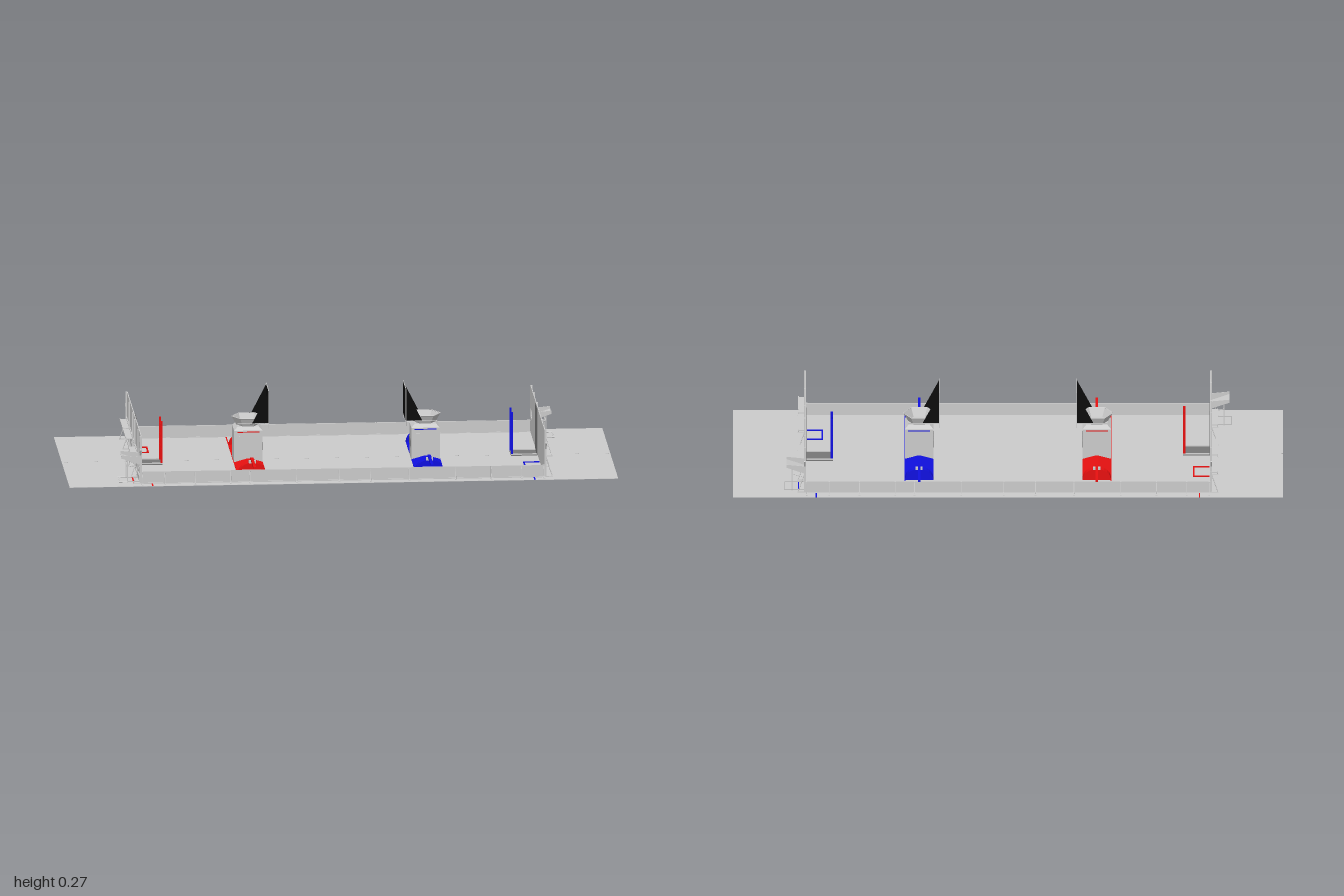
import * as THREE from 'three';

const material = (color) => new THREE.MeshStandardMaterial({ color, side: THREE.DoubleSide, flatShading: true });
const grey = material(0xcccccc), dark = material(0x777777), black = material(0x0c0c0c);
const red = material(0xe81010), blue = material(0x1010e0);

function add(parent, name, geometry, mat = grey) {
  const mesh = new THREE.Mesh(geometry, mat);
  mesh.name = name;
  parent.add(mesh);
  return mesh;
}

// Box given by its extents along each axis
function box(parent, name, x0, x1, y0, y1, z0, z1, mat) {
  const m = add(parent, name, new THREE.BoxGeometry(x1 - x0, y1 - y0, z1 - z0), mat);
  m.position.set((x0 + x1) / 2, (y0 + y1) / 2, (z0 + z1) / 2);
  return m;
}

// Round bar between two points
function bar(parent, name, a, b, r = 0.002, mat = grey) {
  const p = new THREE.Vector3(...a), q = new THREE.Vector3(...b);
  const m = add(parent, name, new THREE.CylinderGeometry(r, r, p.distanceTo(q), 8), mat);
  m.position.copy(p).add(q).multiplyScalar(0.5);
  m.quaternion.setFromUnitVectors(new THREE.Vector3(0, 1, 0), q.sub(p).normalize());
}

function shapeOf(points) {
  return new THREE.Shape(points.map(([x, y]) => new THREE.Vector2(x, y)));
}

// Profile in x and y, extruded along z
function prism(parent, name, points, z0, z1, mat) {
  const g = new THREE.ExtrudeGeometry(shapeOf(points), { depth: z1 - z0, bevelEnabled: false });
  add(parent, name, g, mat).position.z = z0;
}

// Goal tower with hexagonal funnel and net
function buildHub(color) {
  const hub = new THREE.Group();
  hub.name = 'hub';
  box(hub, 'hubBody', -0.052, 0.052, 0, 0.12, -0.052, 0.052);
  const taper = add(hub, 'hubShoulder', new THREE.CylinderGeometry(0.055, 0.0735, 0.012, 4).rotateY(Math.PI / 4));
  taper.position.y = 0.126;
  const funnel = add(hub, 'hexFunnel', new THREE.CylinderGeometry(0.058, 0.038, 0.036, 6, 1, true).rotateY(Math.PI / 2));
  funnel.position.y = 0.145;
  const rim = add(hub, 'funnelRim', new THREE.TorusGeometry(0.058, 0.0015, 4, 6).rotateX(Math.PI / 2));
  rim.position.y = 0.163;
  for (const z of [-0.036, -0.012, 0.012, 0.036])
    box(hub, 'exitChute', -0.054, -0.05, 0.045, 0.07, z - 0.01, z + 0.01, dark);
  for (const s of [-1, 1]) {
    box(hub, 'lightStrip', -0.04, 0.04, 0.113, 0.116, s * 0.053 - 0.001, s * 0.053 + 0.001, color);
    box(hub, 'sidePanel', -0.035, 0.035, 0.05, 0.1, s * 0.0525 - 0.001, s * 0.0525 + 0.001);
  }
  // Net: upright back with triangular sides
  box(hub, 'backNet', -0.074, -0.072, 0.15, 0.268, -0.063, 0.063, black);
  for (const s of [-1, 1]) {
    prism(hub, 'sideNet', [[-0.073, 0.15], [-0.013, 0.15], [-0.073, 0.266]], s * 0.063 - 0.0005, s * 0.063 + 0.0005, black);
    bar(hub, 'netPost', [-0.073, 0.13, s * 0.064], [-0.073, 0.27, s * 0.064], 0.0015);
    bar(hub, 'netArm', [-0.073, 0.148, s * 0.064], [0.04, 0.148, s * 0.064], 0.0015);
  }
  bar(hub, 'netTopBar', [-0.073, 0.27, -0.064], [-0.073, 0.27, 0.064], 0.0015);
  hub.position.x = 0.323;
  return hub;
}

// Ramps beside the hub, end supports and overhead arms
function buildBarrier(color) {
  const barrier = new THREE.Group();
  barrier.name = 'barrier';
  const arch = [];
  for (let i = 0; i <= 12; i++) {
    const a = Math.PI * i / 12;
    arch.push([0.052 * Math.cos(a), 0.045 * Math.sin(a)]);
  }
  for (const s of [-1, 1]) {
    const span = (a, b) => s > 0 ? [a, b] : [-b, -a];
    prism(barrier, 'ramp', [[-0.052, 0.001], [0.052, 0.001], [0.052, 0.003], [0.006, 0.016], [-0.006, 0.016], [-0.052, 0.003]], ...span(0.052, 0.22), color);
    prism(barrier, 'rampEndSupport', arch, ...span(0.218, 0.242), color);
    box(barrier, 'overheadArm', -0.005, 0.005, 0.052, 0.06, ...span(0.225, 0.378), color);
    box(barrier, 'armPost', -0.006, 0.006, 0.03, 0.06, ...span(0.222, 0.24), color);
    box(barrier, 'armHinge', -0.013, 0.013, 0.045, 0.056, ...span(0.243, 0.253));
    bar(barrier, 'armBrace', [0, 0.045, s * 0.25], [0, 0.057, s * 0.3], 0.002);
  }
  barrier.position.x = 0.323;
  return barrier;
}

// End wall with tower and chute openings
function buildWall() {
  const wall = new THREE.Group();
  wall.name = 'endWall';
  const outline = shapeOf([[-0.356, 0.003], [0.356, 0.003], [0.356, 0.177], [-0.356, 0.177]]);
  const hole = (a, b, c, d) => outline.holes.push(shapeOf([[a, c], [a, d], [b, d], [b, c]]));
  hole(-0.335, -0.262, 0.065, 0.095);
  hole(-0.065, 0.015, 0.008, 0.083);
  const g = new THREE.ExtrudeGeometry(outline, { depth: 0.003, bevelEnabled: false }).rotateY(-Math.PI / 2);
  add(wall, 'wallPanel', g).position.x = 0.737;
  box(wall, 'middleRail', 0.736, 0.741, 0.081, 0.085, -0.262, 0.356);
  box(wall, 'bottomRail', 0.736, 0.741, 0.002, 0.007, -0.356, 0.356);
  for (const z of [0.352, 0.192, 0.032, -0.08, -0.242, -0.352]) {
    box(wall, 'wallPost', 0.736, 0.742, 0, 0.177, z - 0.003, z + 0.003);
    box(wall, 'postFoot', 0.736, 0.765, 0, 0.004, z - 0.004, z + 0.004);
    bar(wall, 'postBrace', [0.763, 0.003, z], [0.739, 0.075, z], 0.0015);
  }
  // Player shelves behind the wall
  for (const [a, b] of [[0.2, 0.345], [0.04, 0.185], [-0.235, -0.09]]) {
    box(wall, 'shelf', 0.738, 0.763, 0.074, 0.077, a, b);
    box(wall, 'shelfLip', 0.761, 0.764, 0.074, 0.08, a, b);
  }
  for (const s of [-1, 1])
    bar(wall, 'cornerBracket', [0.739, 0.107, s * 0.357], [0.739, 0.13, s * 0.37], 0.003);
  return wall;
}

// Climbing tower with uprights and rungs
function buildTower(color) {
  const tower = new THREE.Group();
  tower.name = 'climbingTower';
  box(tower, 'towerBase', 0.637, 0.734, 0.001, 0.004, -0.067, 0.017, dark);
  box(tower, 'towerBackPanel', 0.731, 0.7335, 0.004, 0.177, -0.067, 0.017, dark);
  for (const z of [-0.062, 0.012]) {
    box(tower, 'baseSide', 0.637, 0.734, 0.004, 0.008, z - 0.002, z + 0.002);
  }
  for (const z of [-0.061, 0.011])
    box(tower, 'upright', 0.637, 0.645, 0.003, 0.163, z - 0.002, z + 0.002, color);
  for (const y of [0.061, 0.102, 0.142])
    bar(tower, 'rung', [0.641, y, -0.07], [0.641, y, 0.02], 0.002, color);
  return tower;
}

// Feeding station outside the wall
function buildChute(color) {
  const chute = new THREE.Group();
  chute.name = 'feedStation';
  prism(chute, 'chuteTray', [[0.737, 0.066], [0.805, 0.09], [0.805, 0.093], [0.737, 0.069]], -0.335, -0.262);
  for (const z of [-0.335, -0.262]) {
    prism(chute, 'chuteSide', [[0.737, 0.066], [0.805, 0.09], [0.805, 0.102], [0.737, 0.095]], z - 0.001, z + 0.001);
    bar(chute, 'chuteLeg', [0.785, 0, z], [0.785, 0.085, z]);
    bar(chute, 'chuteFoot', [0.738, 0.004, z], [0.815, 0.004, z]);
    bar(chute, 'chuteBrace', [0.74, 0.055, z], [0.785, 0.065, z], 0.0015);
  }
  bar(chute, 'footCrossBar', [0.812, 0.004, -0.335], [0.812, 0.004, -0.262]);
  bar(chute, 'legCrossBar', [0.785, 0.06, -0.335], [0.785, 0.06, -0.262]);
  box(chute, 'floorDoor', 0.738, 0.742, 0.005, 0.024, -0.332, -0.264);
  box(chute, 'floorLine', 0.759, 0.764, 0.001, 0.002, -0.335, -0.262, color);
  const arc = add(chute, 'doorArc', new THREE.TorusGeometry(0.07, 0.001, 4, 16, Math.PI / 2).rotateY(-Math.PI / 2));
  arc.position.set(0.738, 0.082, -0.334);
  return chute;
}

// Low ball pen and coloured floor lines
function buildFloorMarks(color) {
  const marks = new THREE.Group();
  marks.name = 'floorMarks';
  box(marks, 'penFront', 0.673, 0.678, 0.001, 0.005, 0.124, 0.212, color);
  for (const z of [0.124, 0.208]) box(marks, 'penSide', 0.673, 0.733, 0.001, 0.005, z, z + 0.004, color);
  box(marks, 'startLine', 0.373, 0.377, 0.001, 0.002, -0.355, 0.355, color);
  for (const s of [-1, 1])
    box(marks, 'outerLine', 0.694, 0.699, 0.001, 0.002, s * 0.38 - 0.021, s * 0.38 + 0.021, color);
  return marks;
}

// Long side rail with posts and sloping feet
function buildGuardrail() {
  const rail = new THREE.Group();
  rail.name = 'guardrail';
  box(rail, 'railPanel', -0.737, 0.737, 0.002, 0.044, 0.356, 0.358);
  box(rail, 'railTop', -0.737, 0.737, 0.042, 0.046, 0.355, 0.36);
  box(rail, 'railBottom', -0.737, 0.737, 0, 0.004, 0.355, 0.362);
  for (const x of [-0.732, -0.65, -0.54, -0.41, -0.34, -0.17, -0.015, 0.1, 0.24, 0.41, 0.54, 0.65, 0.732]) {
    box(rail, 'railPost', x - 0.002, x + 0.002, 0, 0.046, 0.356, 0.362);
    box(rail, 'railFoot', x - 0.003, x + 0.003, 0, 0.003, 0.36, 0.386);
    bar(rail, 'railBrace', [x, 0.003, 0.375], [x, 0.042, 0.361], 0.0015);
  }
  return rail;
}

export function createModel() {
  const model = new THREE.Group();
  model.name = 'arena';
  for (const s of [-1, 1])
    box(model, 'carpetHalf', -1, 1, 0, 0.001, s * 0.2005 - 0.2, s * 0.2005 + 0.2);
  box(model, 'carpetSeam', -1, 1, 0, 0.0008, -0.0006, 0.0006, dark);

  // The two ends are the same, turned half round and recoloured
  [blue, red].forEach((color, i) => {
    const end = new THREE.Group();
    end.name = i ? 'redEnd' : 'blueEnd';
    end.add(buildWall(), buildTower(color), buildChute(color), buildHub(color),
      buildBarrier(color), buildFloorMarks(color), buildGuardrail());
    end.rotation.y = i * Math.PI;
    model.add(end);
  });
  return model;
}
